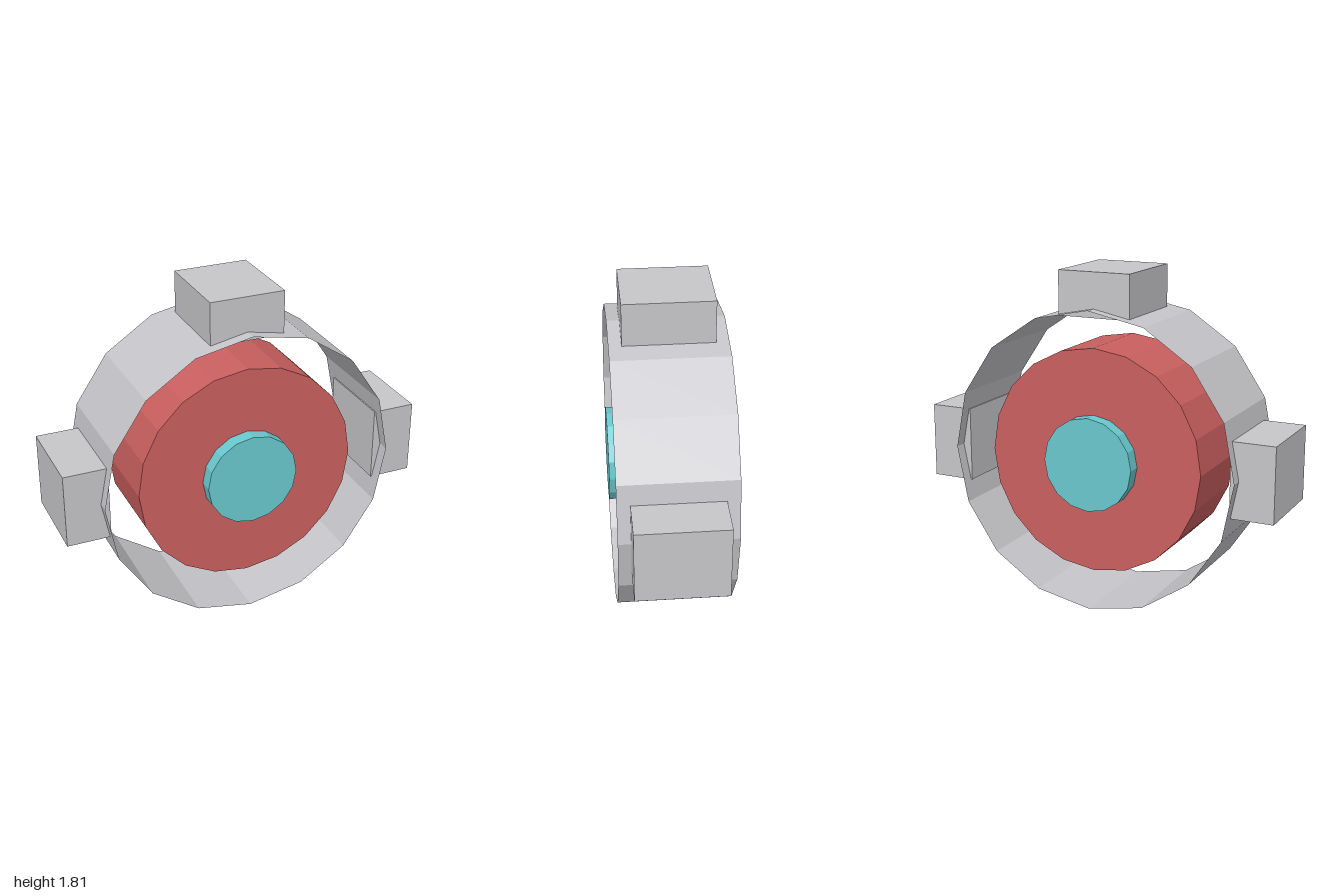
import * as THREE from 'three';

const CENTER_Y = 0.815;

function material(name, color) {
  const m = new THREE.MeshStandardMaterial({ color, flatShading: true });
  m.name = name;
  return m;
}

export function createModel() {
  const group = new THREE.Group();
  const grey = material('light grey', 0xc6c6ca);
  const greyShell = grey;
  greyShell.side = THREE.DoubleSide;
  const red = material('red', 0xca5f5f);
  const teal = material('teal', 0x69c8ce);

  // Cylinder lying along z, centred on the wheel axis
  function disc(name, radius, depth, sides, mat, open = false) {
    const geo = new THREE.CylinderGeometry(radius, radius, depth, sides, 1, open);
    geo.rotateX(Math.PI / 2);
    const mesh = new THREE.Mesh(geo, mat);
    mesh.name = name;
    mesh.position.y = CENTER_Y;
    group.add(mesh);
  }

  // Thin open outer ring, solid drum and protruding hub
  disc('outerRing', 0.81, 0.608, 16, greyShell, true);
  disc('drum', 0.608, 0.486, 20, red);
  disc('hub', 0.253, 0.638, 16, teal);

  // Blocks on the left, top and right of the ring
  ['leftBlock', 'topBlock', 'rightBlock'].forEach((name, i) => {
    const angle = i * Math.PI / 2;
    const block = new THREE.Mesh(new THREE.BoxGeometry(0.237, 0.405, 0.474), grey);
    block.name = name;
    block.position.set(0.8815 * Math.cos(angle), CENTER_Y + 0.8815 * Math.sin(angle), 0);
    block.rotation.z = angle;
    group.add(block);
  });

  return group;
}
